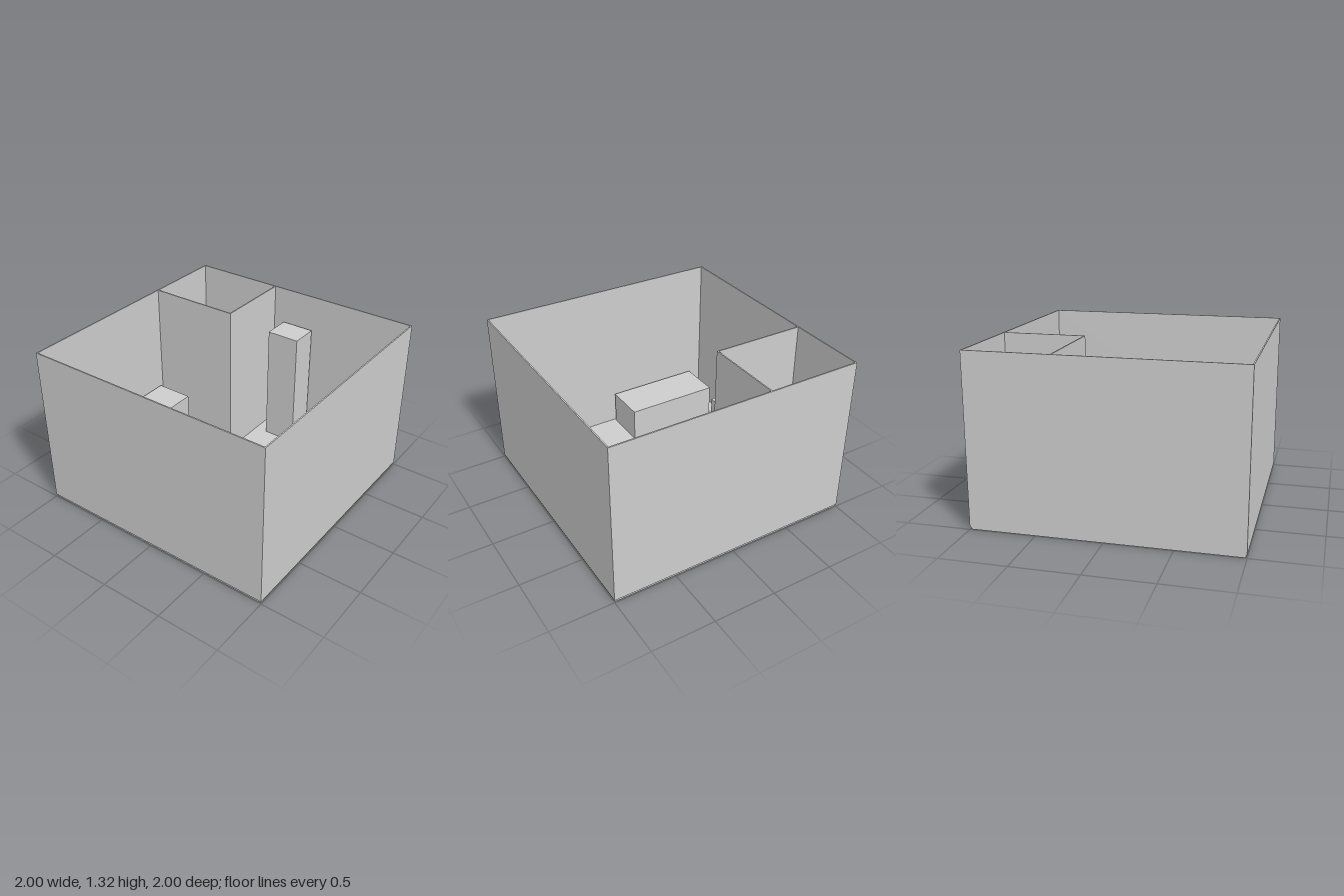
import * as THREE from 'three';

export function createModel() {
  const room = new THREE.Group();
  room.name = 'room';
  const grey = new THREE.MeshStandardMaterial({ color: 0xcccccc });
  grey.name = 'light grey';

  // Box given by its limits on each axis
  const box = (name, [x0, x1], [y0, y1], [z0, z1], parent = room) => {
    const mesh = new THREE.Mesh(new THREE.BoxGeometry(x1 - x0, y1 - y0, z1 - z0), grey);
    mesh.position.set((x0 + x1) / 2, (y0 + y1) / 2, (z0 + z1) / 2);
    mesh.name = name;
    parent.add(mesh);
    return mesh;
  };
  const group = (name) => {
    const g = new THREE.Group();
    g.name = name;
    room.add(g);
    return g;
  };

  const F = 0.02, H = 1.316, T = 0.01;

  // Floor slab, slightly inset under the walls
  box('floor', [-0.993, 0.993], [0, F], [-0.993, 0.993]);

  // Outer walls as one open ring
  const plan = new THREE.Shape();
  plan.moveTo(-1, -1).lineTo(1, -1).lineTo(1, 1).lineTo(-1, 1).closePath();
  const inner = 1 - T;
  const hole = new THREE.Path();
  hole.moveTo(-inner, -inner).lineTo(-inner, inner).lineTo(inner, inner).lineTo(inner, -inner).closePath();
  plan.holes.push(hole);
  const ring = new THREE.ExtrudeGeometry(plan, { depth: H - F, bevelEnabled: false });
  ring.rotateX(-Math.PI / 2).translate(0, F, 0);
  const walls = new THREE.Mesh(ring, grey);
  walls.name = 'outerWalls';
  room.add(walls);

  // L-shaped partition around the washroom
  const partition = group('partition');
  box('partitionFront', [-inner, -0.245], [F, H], [-0.355, -0.345], partition);
  box('partitionSide', [-0.255, -0.245], [F, H], [-inner, -0.355], partition);

  // Washroom fittings
  box('showerTray', [-0.95, -0.6], [F, 0.08], [-0.985, -0.64]);
  box('toilet', [-0.49, -0.295], [F, 0.24], [-0.95, -0.75]);
  box('washstand', [-0.65, -0.45], [F, 0.42], [-0.63, -0.38]);

  // Tall cupboard against the back wall
  box('tallCupboard', [-0.14, 0.135], [F, 1.02], [-0.975, -0.745]);

  // Desk with a stool pushed partly under it
  box('desk', [0.3, 0.94], [F, 0.42], [-0.975, -0.675]);
  box('stool', [0.67, 0.865], [F, 0.25], [-0.675, -0.58]);

  // Bed with a low step at its head
  box('bed', [0.35, 0.94], [F, 0.28], [-0.18, 0.82]);
  box('bedStep', [0.56, 0.83], [F, 0.2], [-0.2, -0.18]);

  // Low furniture along the left and front walls
  box('dresser', [-0.975, -0.665], [F, 0.42], [-0.3, 0.295]);
  box('sofa', [-0.87, -0.08], [F, 0.3], [0.62, 0.97]);

  return room;
}
